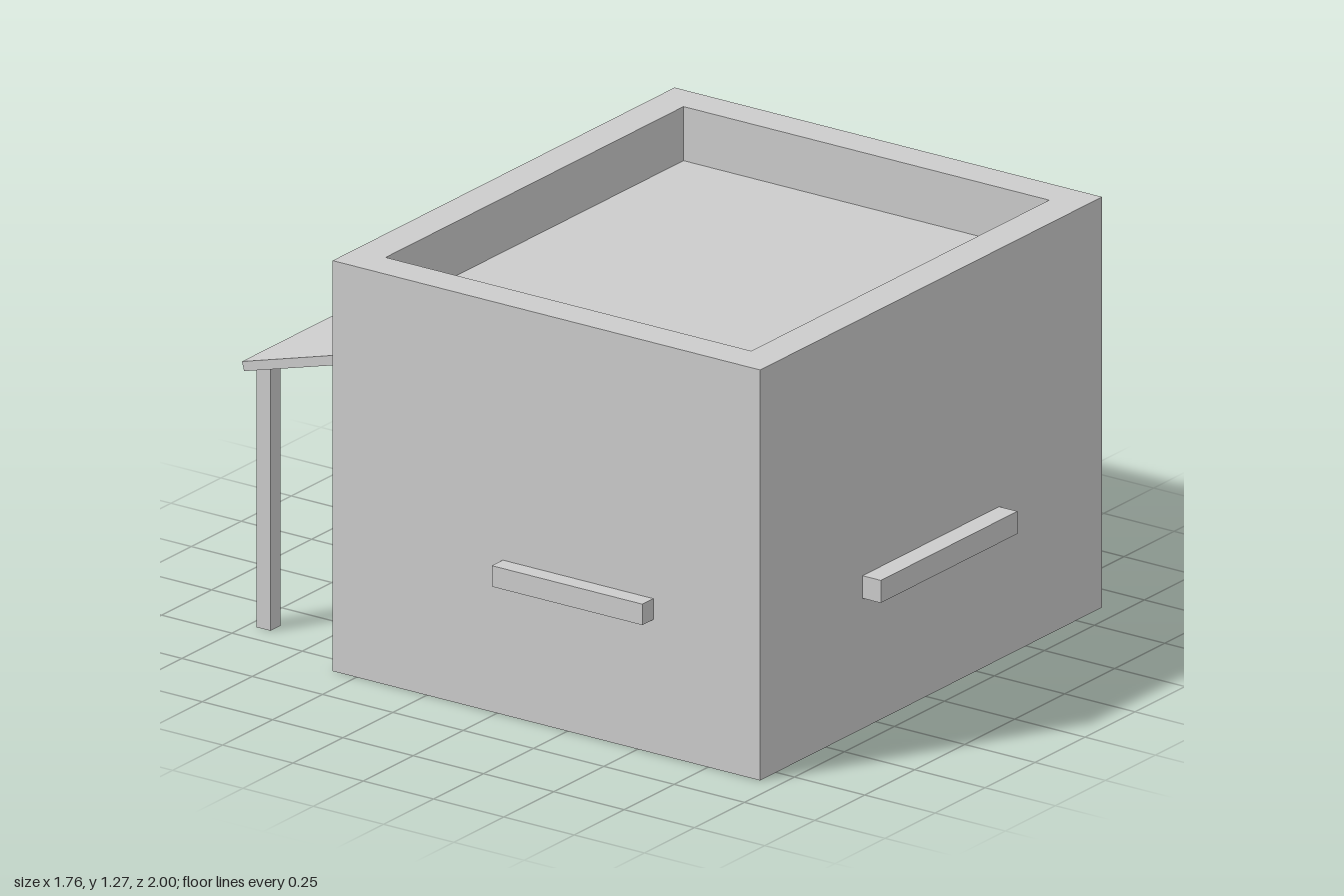
import * as THREE from 'three';

const plaster = new THREE.MeshStandardMaterial({ color: 0xcccccc });
plaster.name = 'plaster grey';

// House extents
const X0 = -0.83, X1 = 0.88, Z0 = -0.585, Z1 = 0.935;
const WALL = 0.11, HEIGHT = 1.275, ROOF = 1.107, DOOR_TOP = 0.73;

function add(group, name, geometry) {
  const mesh = new THREE.Mesh(geometry, plaster);
  mesh.name = name;
  group.add(mesh);
}

// Box from its minimum and maximum corners
function block([x0, y0, z0], [x1, y1, z1]) {
  return new THREE.BoxGeometry(x1 - x0, y1 - y0, z1 - z0)
    .translate((x0 + x1) / 2, (y0 + y1) / 2, (z0 + z1) / 2);
}

const planPoints = (points) => points.map(([x, z]) => new THREE.Vector2(x, -z));
const rectangle = (x0, z0, x1, z1) => [[x0, z0], [x0, z1], [x1, z1], [x1, z0]];

// Raise a floor plan, given as x and z, from y0 to y1
function storey(plan, y0, y1, hole) {
  const shape = new THREE.Shape(planPoints(plan));
  if (hole) shape.holes.push(new THREE.Path(planPoints(hole)));
  return new THREE.ExtrudeGeometry(shape, { depth: y1 - y0, bevelEnabled: false })
    .rotateX(-Math.PI / 2).translate(0, y0, 0);
}

export function createModel() {
  const house = new THREE.Group();
  house.name = 'house';

  // Lower walls with the door recess cut into the back
  const doorX0 = -0.205, doorX1 = 0.255, doorZ = Z0 + WALL;
  const outline = rectangle(X0, Z0, X1, Z1);
  add(house, 'lowerWalls', storey([
    ...outline, [doorX1, Z0], [doorX1, doorZ], [doorX0, doorZ], [doorX0, Z0],
  ], 0, DOOR_TOP));

  // Upper walls and sunken flat roof
  add(house, 'upperWallsAndRoof', storey(outline, DOOR_TOP, ROOF));

  // Parapet around the roof
  add(house, 'parapet', storey(outline, ROOF, HEIGHT,
    rectangle(X0 + WALL, Z0 + WALL, X1 - WALL, Z1 - WALL)));

  // Window sills
  add(house, 'frontSill', block([-0.318, 0.405, Z1], [0.365, 0.475, 1]));
  add(house, 'sideSill', block([-0.885, 0.415, 0.02], [X0, 0.48, 0.555]));

  // Sloping canopy, drawn in side profile and extruded across the back
  const profile = [[-Z0, 0.945], [-Z0, 0.914], [0.992, 0.8], [1, 0.828]];
  const canopy = new THREE.ExtrudeGeometry(
    new THREE.Shape(profile.map(([u, v]) => new THREE.Vector2(u, v))),
    { depth: 1.445, bevelEnabled: false });
  add(house, 'canopy', canopy.rotateY(Math.PI / 2).translate(-0.7, 0, 0));

  // Canopy posts
  for (const [name, x] of [['rightPost', -0.645], ['leftPost', 0.69]]) {
    add(house, name, block([x - 0.025, 0, -0.97], [x + 0.025, 0.812, -0.92]));
  }
  return house;
}
